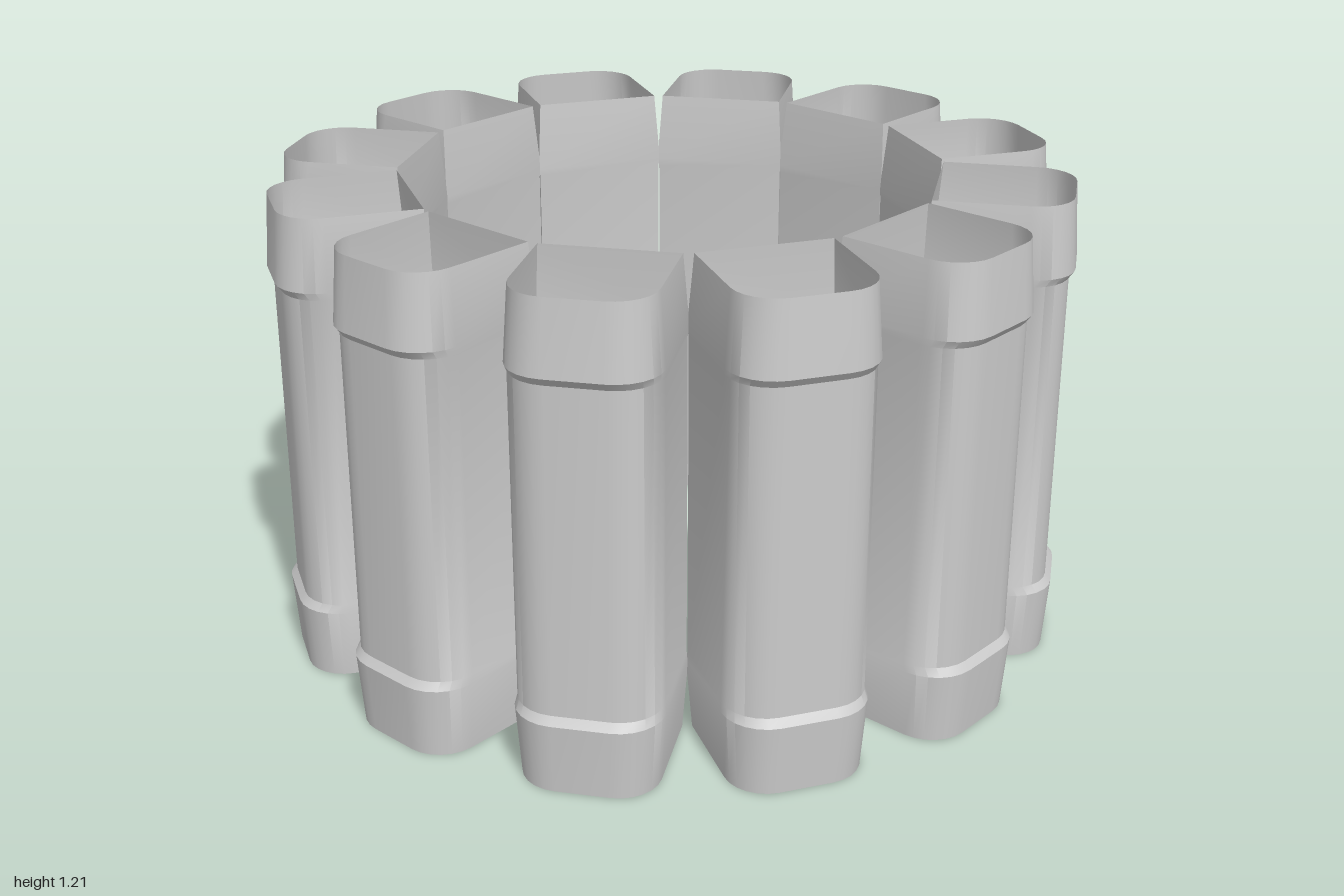
import * as THREE from 'three';
import { toCreasedNormals } from 'three/addons/utils/BufferGeometryUtils.js';

const COUNT = 12;
const CORNER_STEPS = 6;

// Cross-sections from bottom to top: height, half width, inner radius, outer radius, corner radius
const SECTIONS = [
  [0.0, 0.166, 0.666, 1.0, 0.1],
  [0.18, 0.178, 0.652, 1.013, 0.109],
  [0.2, 0.174, 0.654, 0.998, 0.105],
  [1.01, 0.174, 0.654, 0.998, 0.105],
  [1.03, 0.178, 0.652, 1.013, 0.109],
  [1.21, 0.166, 0.666, 1.0, 0.1],
];

// Outline with sharp corners towards the ring's centre and round ones outside
function outline([y, half, inner, outer, radius]) {
  const points = [[-half, inner], [half, inner]];
  for (const side of [1, -1]) {
    for (let i = 0; i <= CORNER_STEPS; i++) {
      const t = (i / CORNER_STEPS) * Math.PI / 2;
      const a = side > 0 ? t : Math.PI / 2 + t;
      points.push([
        side * (half - radius) + Math.cos(a) * radius,
        outer - radius + Math.sin(a) * radius,
      ]);
    }
  }
  return points.map(([x, z]) => [x, y, z]);
}

// Open tube lofted through the cross-sections
function tubeGeometry() {
  const rings = SECTIONS.map(outline);
  const n = rings[0].length;
  const index = [];
  for (let r = 0; r < rings.length - 1; r++) {
    for (let i = 0; i < n; i++) {
      const j = (i + 1) % n;
      const a = r * n + i, b = r * n + j;
      index.push(a, a + n, b, b, a + n, b + n);
    }
  }
  const geometry = new THREE.BufferGeometry();
  geometry.setAttribute('position', new THREE.Float32BufferAttribute(rings.flat(2), 3));
  geometry.setIndex(index);
  return toCreasedNormals(geometry, 0.5);
}

export function createModel() {
  const model = new THREE.Group();
  model.name = 'tubeRing';
  const material = new THREE.MeshStandardMaterial({ color: 0xcccccc, side: THREE.DoubleSide });
  const geometry = tubeGeometry();

  // Twelve tubes side by side, with a gap between two of them at the front
  for (let i = 0; i < COUNT; i++) {
    const tube = new THREE.Mesh(geometry, material);
    tube.name = `tube${i + 1}`;
    tube.rotation.y = ((i + 0.5) / COUNT) * Math.PI * 2;
    model.add(tube);
  }
  return model;
}
